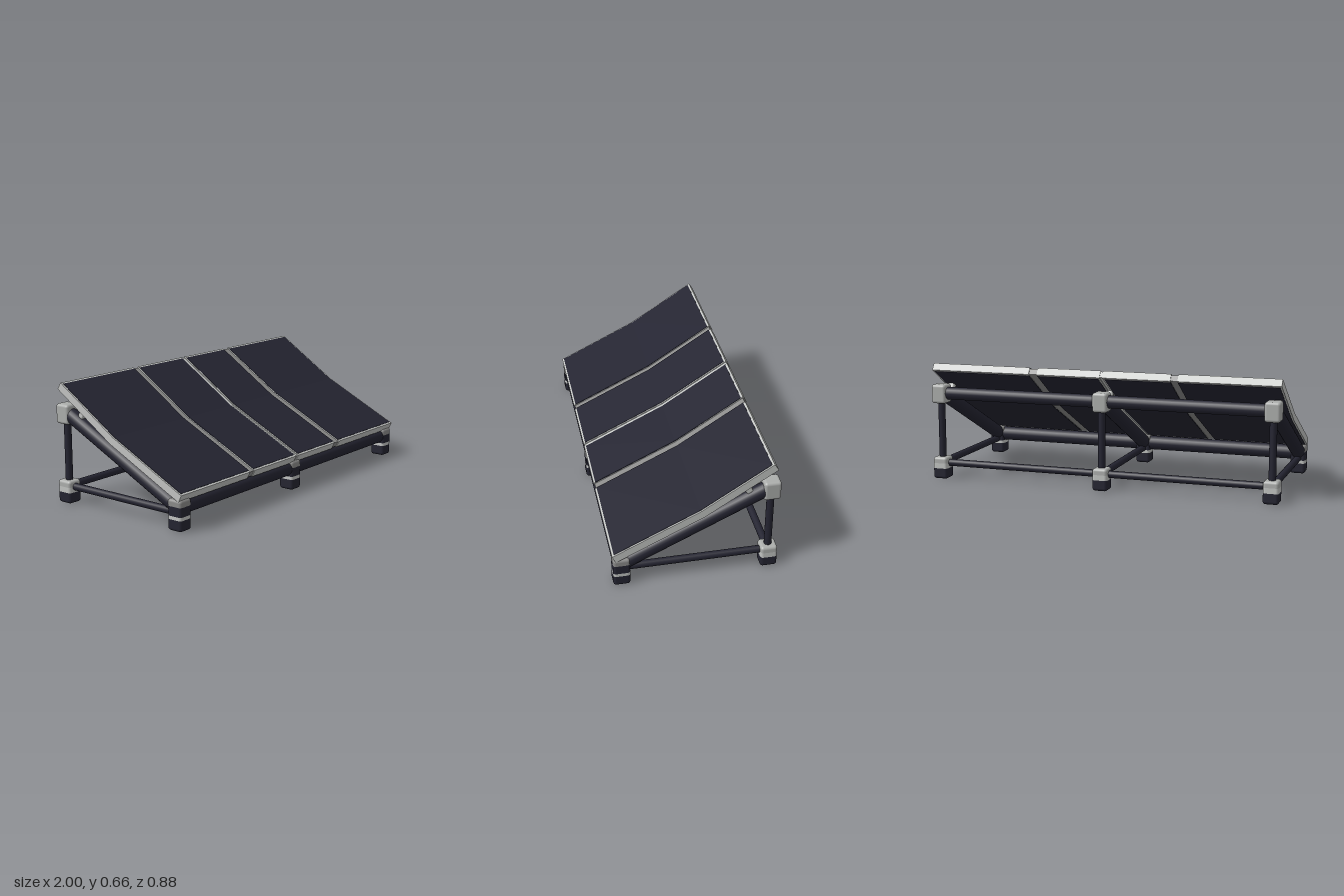
import * as THREE from 'three';
import { RoundedBoxGeometry } from 'three/addons/geometries/RoundedBoxGeometry.js';

const material = (name, color) => {
  const m = new THREE.MeshStandardMaterial({ color });
  m.name = name;
  return m;
};

export function createModel() {
  const dark = material('dark navy', 0x242431);
  const light = material('light grey', 0xc2c4c2);
  const mid = material('mid grey', 0x8a8a89);
  const soft = material('soft grey', 0xacaeac);

  const model = new THREE.Group();
  model.name = 'solarPanelStand';
  const add = (name, geometry, mat) => {
    const mesh = new THREE.Mesh(geometry, mat);
    mesh.name = name;
    model.add(mesh);
    return mesh;
  };

  // Round bar between two points
  const bar = (name, a, b, radius) => {
    const p = new THREE.Vector3(...a), q = new THREE.Vector3(...b);
    const d = q.clone().sub(p);
    const mesh = add(name, new THREE.CylinderGeometry(radius, radius, d.length(), 20), dark);
    mesh.position.copy(p).add(q).multiplyScalar(0.5);
    mesh.quaternion.setFromUnitVectors(new THREE.Vector3(0, 1, 0), d.normalize());
  };

  // Rounded connector block cut into horizontal colour bands: [top, material]
  const block = (name, x, z, y0, y1, bands) => {
    let low = y0;
    for (const [top, mat] of bands) {
      const g = new RoundedBoxGeometry(0.086, y1 - y0, 0.09, 4, 0.016);
      g.translate(x, (y0 + y1) / 2, z);
      const p = g.attributes.position;
      for (let i = 0; i < p.count; i++) p.setY(i, THREE.MathUtils.clamp(p.getY(i), low, top));
      add(name, g, mat);
      low = top;
    }
  };

  // Bent sheet: follows the panel slope between two depths below its top face
  const bend = [[0.44, 0.195], [-0.02, 0.42], [-0.392, 0.66]].map(p => new THREE.Vector2(...p));
  const dirs = [bend[1].clone().sub(bend[0]).normalize(), bend[2].clone().sub(bend[1]).normalize()];
  const normals = [dirs[0], dirs[0].clone().add(dirs[1]).normalize(), dirs[1]]
    .map(d => new THREE.Vector2(d.y, -d.x));
  const sheet = (name, x0, x1, top, bottom, inset, mat) => {
    const along = [
      bend[0].clone().addScaledVector(dirs[0], inset),
      bend[1],
      bend[2].clone().addScaledVector(dirs[1], -inset),
    ];
    const at = depth => along.map((p, i) => p.clone().addScaledVector(normals[i], -depth));
    const shape = new THREE.Shape([...at(top), ...at(bottom).reverse()]);
    const g = new THREE.ExtrudeGeometry(shape, { depth: x1 - x0, bevelEnabled: false });
    g.rotateY(-Math.PI / 2).translate(x1, 0, 0);
    add(name, g, mat);
  };

  // Four panels: light frame with dark faces above and below
  const thick = 0.043;
  const panels = [[-1, -0.442], [-0.402, -0.02], [-0.004, 0.362], [0.41, 1]];
  panels.forEach(([x0, x1], i) => {
    const left = i % 2 ? 0 : 0.01, right = i % 2 ? 0.01 : 0;
    sheet('panelFrame', x0, x1, 0, thick, 0, light);
    sheet('panelFace', x0 + left, x1 - right, -0.002, 0.002, 0.012, dark);
    sheet('panelBack', x0 + left, x1 - right, thick - 0.002, thick + 0.002, 0.012, dark);
  });

  // Recessed joining strips and the centre seam
  sheet('joiningStrip', -0.442, -0.402, 0.006, thick - 0.003, 0.004, mid);
  sheet('joiningStrip', 0.362, 0.41, 0.006, thick - 0.003, 0.004, mid);
  sheet('centreSeam', -0.02, -0.004, 0.004, thick - 0.004, 0.004, light);

  // Three triangular side frames
  const frontZ = 0.39, backZ = -0.393;
  for (const x of [-0.957, -0.01, 0.957]) {
    bar('rafter', [x, 0.115, frontZ], [x, 0.497, backZ], 0.04);
    bar('baseBar', [x, 0.09, frontZ], [x, 0.09, backZ], 0.02);
    bar('backPost', [x, 0.06, backZ], [x, 0.49, backZ], 0.02);
    block('frontFoot', x, frontZ, 0, 0.165,
      [[0.06, dark], [0.078, light], [0.128, dark], [0.165, mid]]);
    block('backFoot', x, backZ, 0, 0.125, [[0.06, dark], [0.09, light], [0.125, soft]]);
    block('topConnector', x, backZ, 0.435, 0.543, [[0.543, soft]]);

    // Small clip between rafter and panel
    const clip = add('panelClip', new RoundedBoxGeometry(0.04, 0.055, 0.035, 2, 0.008), light);
    clip.position.set(x, 0.505, -0.268);
    clip.rotation.x = 0.55;
  }

  // Long rails across the width
  bar('frontRail', [-0.957, 0.12, frontZ], [0.957, 0.12, frontZ], 0.042);
  bar('topRail', [-0.957, 0.492, backZ], [0.957, 0.492, backZ], 0.036);
  bar('backBaseRail', [-0.957, 0.09, backZ], [0.957, 0.09, backZ], 0.02);

  return model;
}
